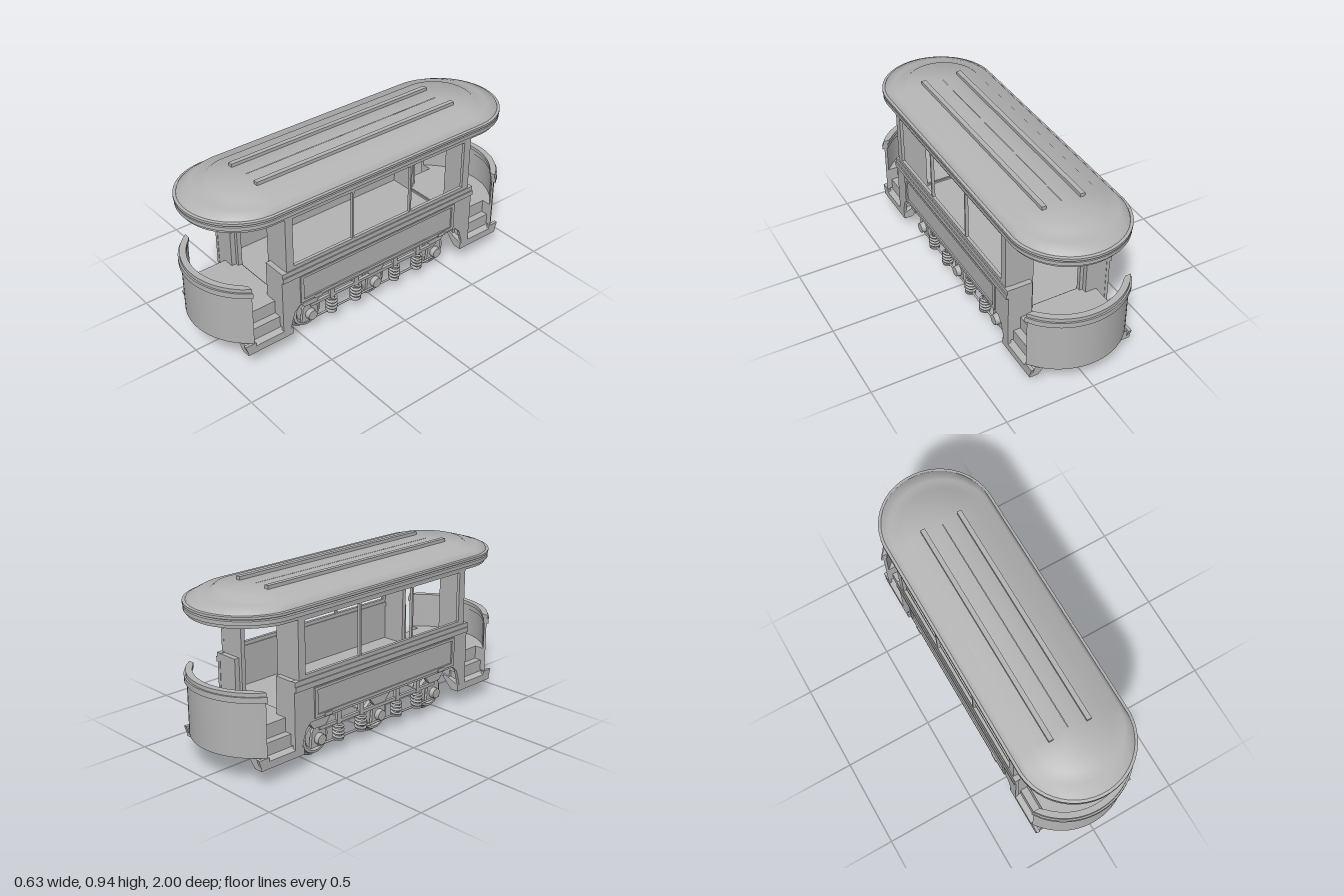
import * as THREE from 'three';
import { toCreasedNormals } from 'three/addons/utils/BufferGeometryUtils.js';

const grey = new THREE.MeshStandardMaterial({ color: 0xb4b4b4 });
grey.name = 'plain grey';

const polygon = (pts) => new THREE.Shape(pts.map(([x, y]) => new THREE.Vector2(x, y)));
const rect = (x0, y0, x1, y1) => polygon([[x0, y0], [x1, y0], [x1, y1], [x0, y1]]);

function extrude(shape, depth, holes = []) {
  shape.holes.push(...holes);
  return new THREE.ExtrudeGeometry(shape, { depth, bevelEnabled: false, curveSegments: 16 });
}

function add(parent, name, geometry) {
  const mesh = new THREE.Mesh(geometry, grey);
  mesh.name = name;
  parent.add(mesh);
  return mesh;
}

// Box given by its two extreme corners
function box(parent, name, x0, y0, z0, x1, y1, z1) {
  const g = new THREE.BoxGeometry(x1 - x0, y1 - y0, z1 - z0);
  return add(parent, name, g.translate((x0 + x1) / 2, (y0 + y1) / 2, (z0 + z1) / 2));
}

// Plate drawn in (z, y), reaching from x0 to x1
function sidePlate(parent, name, shape, x0, x1, holes) {
  return add(parent, name, extrude(shape, x1 - x0, holes).rotateY(-Math.PI / 2).translate(x1, 0, 0));
}

// Plate drawn in (x, z), reaching from y0 up to y1
function planPlate(parent, name, shape, y0, y1) {
  const g = extrude(shape, y1 - y0).rotateX(Math.PI / 2).translate(0, y1, 0);
  return add(parent, name, toCreasedNormals(g, 0.5));
}

// Lathe pulled apart along z into a long, round-ended roof
function makeRoof(parent) {
  const profile = [[0.001, 0.87], [0.2, 0.865], [0.28, 0.825], [0.294, 0.806], [0.301, 0.806],
    [0.303, 0.825], [0.315, 0.825], [0.315, 0.845], [0.304, 0.848], [0.304, 0.855], [0.318, 0.855],
    [0.318, 0.868], [0.303, 0.87], [0.3, 0.877], [0.28, 0.9], [0.225, 0.903], [0.2, 0.924], [0.001, 0.927]];
  const n = 48;
  const g = new THREE.LatheGeometry(profile.map(([r, y]) => new THREE.Vector2(r, y)), n, Math.PI / n);
  const p = g.attributes.position;
  for (let i = 0; i < p.count; i++) {
    const shift = p.getY(i) > 0.89 ? 0.63 : 0.682;
    p.setZ(i, p.getZ(i) + Math.sign(p.getZ(i)) * shift);
  }
  add(parent, 'roof', toCreasedNormals(g, 0.9));
  for (const s of [-1, 1]) box(parent, 'roofRail', s * 0.108 - 0.013, 0.92, -0.65, s * 0.108 + 0.013, 0.944, 0.65);
}

function makeCabin(parent) {
  const half = [[0.61, 0.09], [0.865, 0.09], [0.885, 0.15], [0.82, 0.15], [0.82, 0.13], [0.65, 0.13],
    [0.65, 0.49], [0.62, 0.49], [0.62, 0.82]];
  const outline = [[0.545, 0.25], [0.575, 0.22], [0.595, 0.16], ...half];
  const mirrored = outline.map(([z, y]) => [-z, y]).reverse();
  for (const s of [-1, 1]) {
    // Side wall with three window openings
    const windows = [[0.2, 0.575], [-0.19, 0.19], [-0.575, -0.2]].map(([a, b]) => rect(a, 0.513, b, 0.795));
    const near = s > 0 ? 0.28 : -0.298;
    sidePlate(parent, 'sideWall', polygon([...outline, ...mirrored]), near, near + 0.018, windows);
    // Sills and framed panel
    const sx = (name, a, y0, z0, b, y1, z1) =>
      box(parent, name, Math.min(s * a, s * b), y0, z0, Math.max(s * a, s * b), y1, z1);
    sx('lowerSill', 0.29, 0.44, -0.65, 0.31, 0.468, 0.65);
    sx('upperSill', 0.275, 0.468, -0.65, 0.304, 0.493, 0.65);
    const fx = s > 0 ? 0.297 : -0.306;
    sidePlate(parent, 'panelFrame', rect(-0.52, 0.265, 0.54, 0.43), fx, fx + 0.009, [rect(-0.5, 0.282, 0.52, 0.415)]);
    for (const z of [-0.43, 0.43]) sx('panelCatch', 0.29, 0.258, z - 0.025, 0.309, 0.278, z + 0.025);
  }
  // Bulkheads with a doorway
  for (const s of [-1, 1]) {
    const g = extrude(rect(-0.285, 0.2, 0.285, 0.86), 0.025, [rect(-0.14, 0.28, 0.14, 0.785)]);
    add(parent, 'bulkhead', g.translate(0, 0, s * 0.607 - 0.0125));
  }
  box(parent, 'cabinFloor', -0.285, 0.25, -0.61, 0.285, 0.27, 0.61);
}

// Rounded outline of the platform front, moved outward by d
function frontCurve(d) {
  const pts = [[0.297 + d, 0.83]], reach = 0.821, n = 20;
  for (let i = 0; i <= n; i++) {
    const a = reach * (1 - 2 * i / n), r = 0.362 + d;
    pts.push([r * Math.sin(a), 0.623 + r * Math.cos(a)]);
  }
  pts.push([-0.297 - d, 0.83]);
  return pts;
}

function makePlatform() {
  const platform = new THREE.Group();
  platform.name = 'platform';
  const ring = (a, b) => polygon([...frontCurve(a), ...frontCurve(b).reverse()]);
  planPlate(platform, 'dashPanel', ring(0, -0.016), 0.15, 0.46);
  planPlate(platform, 'dashRail', ring(0.013, -0.022), 0.442, 0.472);
  planPlate(platform, 'dashCap', ring(0.004, -0.03), 0.472, 0.492);
  const floor = [...frontCurve(-0.006), [-0.225, 0.83], [-0.225, 0.6], [0.225, 0.6], [0.225, 0.83]];
  planPlate(platform, 'platformFloor', polygon(floor), 0.15, 0.285);
  for (const s of [-1, 1]) {
    // Entrance steps and the corner panel beside them
    const tread = polygon([[0.298, 0.09], [0.298, 0.13], [0.19, 0.17], [0.19, 0.15], [0.25, 0.09]].map(([x, y]) => [s * x, y]));
    add(platform, 'lowerStep', extrude(tread, 0.28).translate(0, 0, 0.59));
    const x0 = s > 0 ? 0.215 : -0.265;
    box(platform, 'upperStep', x0, 0.13, 0.64, x0 + 0.05, 0.21, 0.84);
    const c0 = s > 0 ? 0.16 : -0.297;
    box(platform, 'cornerPanel', c0, 0.15, 0.615, c0 + 0.137, 0.49, 0.648);
  }
  return platform;
}

// Coil spring standing on y
function springGeometry() {
  const pts = [], turns = 4;
  for (let i = 0; i <= turns * 10; i++) {
    const a = i / 10 * Math.PI * 2;
    pts.push(new THREE.Vector3(0.026 * Math.cos(a), 0.075 + 0.08 * i / (turns * 10), 0.026 * Math.sin(a)));
  }
  return new THREE.TubeGeometry(new THREE.CatmullRomCurve3(pts), 80, 0.0075, 6);
}

function makeRunningGear(parent) {
  const gear = new THREE.Group();
  gear.name = 'runningGear';
  parent.add(gear);
  const wheelProfile = [[0.001, 0.178], [0.11, 0.178], [0.108, 0.184], [0.09, 0.197], [0.086, 0.216],
    [0.072, 0.218], [0.06, 0.205], [0.032, 0.208], [0.03, 0.225], [0.001, 0.225]];
  const wheel = toCreasedNormals(new THREE.LatheGeometry(
    wheelProfile.map(([r, y]) => new THREE.Vector2(r, y)), 28), 0.7);
  const spring = springGeometry();
  for (const z of [-0.44, 0, 0.44]) {
    const axle = add(gear, 'axle', new THREE.CylinderGeometry(0.016, 0.016, 0.46, 14).rotateZ(Math.PI / 2));
    axle.position.set(0, 0.113, z);
    for (const s of [-1, 1]) {
      const w = add(gear, 'wheel', wheel);
      w.rotation.z = -s * Math.PI / 2;
      w.position.set(0, 0.11, z);
      // Axle box, its guard and the bracket up to the body
      const hub = add(gear, 'axleBox', new THREE.CylinderGeometry(0.028, 0.034, 0.045, 16).rotateZ(-s * Math.PI / 2));
      hub.position.set(s * 0.247, 0.113, z);
      const guard = polygon([[-0.055, 0.07], [0.055, 0.07], [0.045, 0.16], [0.025, 0.19], [-0.025, 0.19], [-0.045, 0.16]]);
      sidePlate(gear, 'axleGuard', guard, s * 0.235 - 0.008, s * 0.235 + 0.008).position.z = z;
      const bracket = polygon([[-0.04, 0.18], [0.04, 0.18], [0.1, 0.252], [-0.1, 0.252]]);
      sidePlate(gear, 'bracket', bracket, s * 0.24 - 0.012, s * 0.24 + 0.012).position.z = z;
    }
  }
  for (const s of [-1, 1]) {
    for (const z of [-0.305, -0.14, 0.135, 0.3]) {
      add(gear, 'spring', spring).position.set(s * 0.245, 0, z);
      const seat = add(gear, 'springSeat', new THREE.CylinderGeometry(0.03, 0.03, 0.01, 16));
      seat.position.set(s * 0.245, 0.072, z);
      box(gear, 'springHanger', s * 0.245 - 0.01, 0.155, z - 0.014, s * 0.245 + 0.01, 0.252, z + 0.014);
    }
    // Side bars joining the axles
    box(gear, 'upperBar', s * 0.243 - 0.009, 0.16, -0.44, s * 0.243 + 0.009, 0.178, 0.44);
    const rod = add(gear, 'lowerRod', new THREE.CylinderGeometry(0.006, 0.006, 0.9, 8).rotateX(Math.PI / 2));
    rod.position.set(s * 0.243, 0.075, 0);
  }
  box(gear, 'underBox', -0.043, 0.065, 0.59, 0.043, 0.16, 0.63);
}

export function createModel() {
  const model = new THREE.Group();
  model.name = 'streetcar';
  makeRoof(model);
  makeCabin(model);
  const front = makePlatform();
  front.name = 'frontPlatform';
  const rear = makePlatform();
  rear.name = 'rearPlatform';
  rear.rotation.y = Math.PI;
  model.add(front, rear);
  makeRunningGear(model);
  return model;
}
